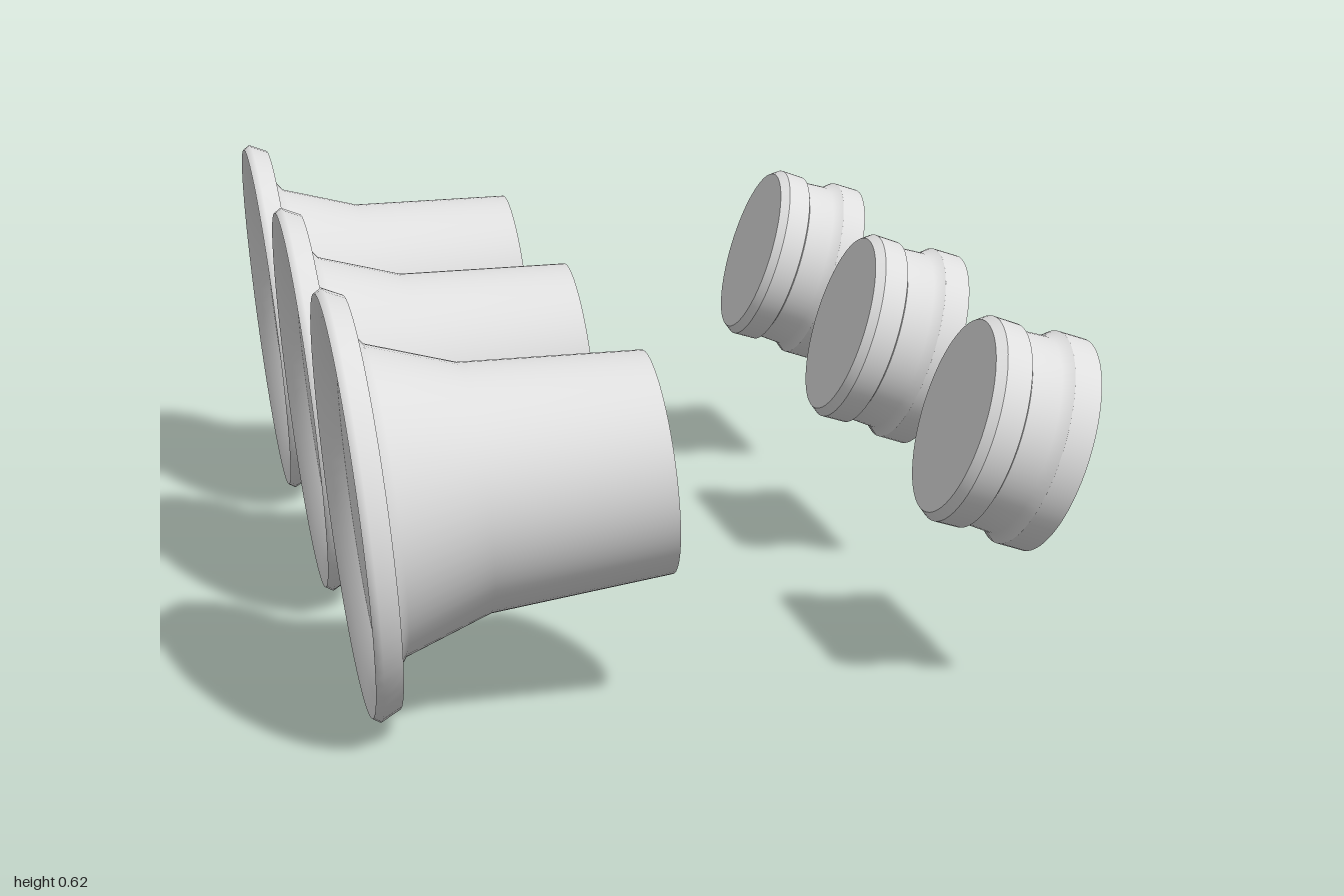
import * as THREE from 'three';

// Double sided because the flared sleeves are open, thin shells
const paleGrey = new THREE.MeshStandardMaterial({ color: 0xdedede, side: THREE.DoubleSide });

// Each band is a smooth run of [radius, distance along axis]; edges stay sharp between bands
function turned(name, bands) {
  const group = new THREE.Group();
  group.name = name;
  for (const [part, points] of bands) {
    const profile = points.map(([r, t]) => new THREE.Vector2(r, t));
    const mesh = new THREE.Mesh(new THREE.LatheGeometry(profile, 64), paleGrey);
    mesh.name = part;
    group.add(mesh);
  }
  return group;
}

// The wide end has a rolled lip around a recessed disc; the narrow end is open
const sleeveBands = [
  ['recessedDisc', [[0, 0.028], [0.245, 0.028]]],
  ['lipInside', [[0.245, 0.028], [0.272, 0.009], [0.304, -0.001]]],
  ['lipEdge', [[0.304, -0.001], [0.311, 0.01], [0.297, 0.039]]],
  ['lipFront', [[0.297, 0.039], [0.285, 0.038]]],
  ['lipUnderside', [[0.285, 0.038], [0.272, 0.02]]],
  ['flaredTube', [[0.272, 0.02], [0.2525, 0.037], [0.225, 0.058], [0.181, 0.187], [0.163, 0.455]]],
];

const plugBands = [
  ['innerCap', [[0, -0.159], [0.146, -0.159]]],
  ['bevel', [[0.146, -0.159], [0.156, -0.145]]],
  ['frontBand', [[0.156, -0.145], [0.155, -0.106]]],
  ['grooveEdge', [[0.155, -0.106], [0.147, -0.102]]],
  ['groove', [[0.147, -0.102], [0.15, -0.057], [0.162, -0.042]]],
  ['rearBand', [[0.162, -0.042], [0.162, 0]]],
  ['outerCap', [[0.162, 0], [0, 0]]],
];

export function createModel() {
  const model = new THREE.Group();
  model.name = 'sleevesAndPlugs';

  // Three identical pairs in a row along z
  for (const z of [-0.69, 0, 0.69]) {
    const sleeve = turned('flangedSleeve', sleeveBands);
    sleeve.position.set(-0.532, 0.31, z);
    sleeve.rotation.z = 0.0985 - Math.PI / 2;

    const plug = turned('groovedPlug', plugBands);
    plug.position.set(0.512, 0.355, z);
    plug.rotation.z = -0.317 - Math.PI / 2;

    model.add(sleeve, plug);
  }
  return model;
}
